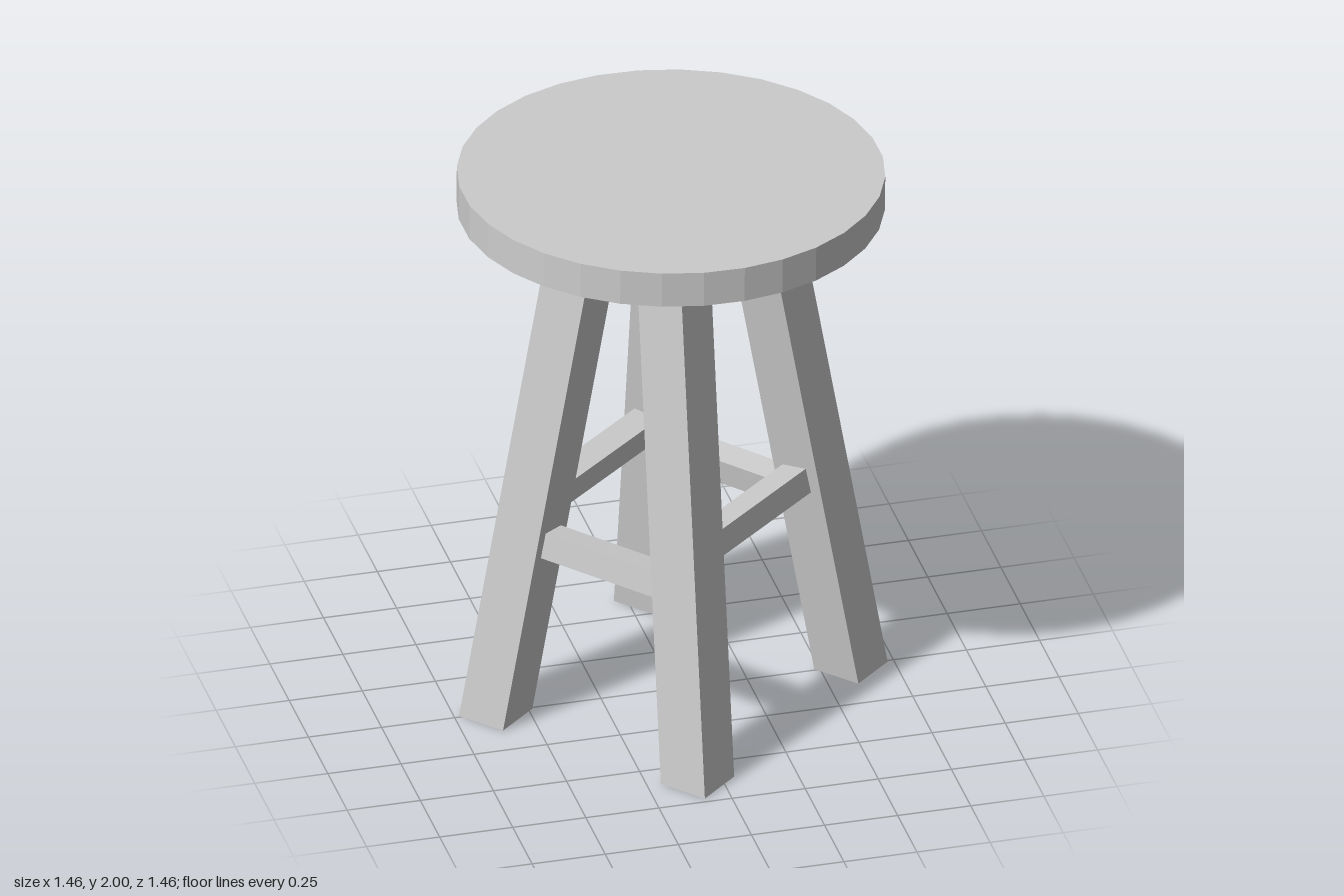
import * as THREE from 'three';

const material = new THREE.MeshStandardMaterial({ color: 0xcccccc, flatShading: true });
const LEG_HEIGHT = 1.88;

// Leg centres [x, z] on the floor and under the seat: front, right side (+x), back, -x side
const legs = [
  { name: 'frontLeg', foot: [-0.08, 0.605], top: [-0.08, 0.28] },
  { name: 'leftLeg', foot: [0.605, 0], top: [0.28, 0] },
  { name: 'backLeg', foot: [0.08, -0.605], top: [0.08, -0.28] },
  { name: 'rightLeg', foot: [-0.61, 0], top: [-0.285, 0] },
];

// Centre of a leg at height y
function legCentre({ foot, top }, y) {
  const t = y / LEG_HEIGHT;
  return [0, 1].map((i) => foot[i] + (top[i] - foot[i]) * t);
}

function addMesh(group, name, geometry) {
  const mesh = new THREE.Mesh(geometry, material);
  mesh.name = name;
  group.add(mesh);
  return mesh;
}

// Square post turned on its corner and sheared inwards
function legGeometry(leg) {
  const geometry = new THREE.BoxGeometry(0.175, LEG_HEIGHT, 0.175);
  geometry.rotateY(Math.PI / 4 - 0.06);
  geometry.translate(0, LEG_HEIGHT / 2, 0);
  const p = geometry.attributes.position;
  for (let i = 0; i < p.count; i++) {
    const [x, z] = legCentre(leg, p.getY(i));
    p.setXYZ(i, p.getX(i) + x, p.getY(i), p.getZ(i) + z);
  }
  geometry.computeVertexNormals();
  return geometry;
}

export function createModel() {
  const model = new THREE.Group();
  model.name = 'stool';

  // Round seat, slightly tilted
  const seatGeometry = new THREE.CylinderGeometry(0.71, 0.71, 0.125, 32);
  seatGeometry.rotateY(Math.PI / 32);
  seatGeometry.scale(1, 1, 0.977);
  const seat = addMesh(model, 'seat', seatGeometry);
  seat.position.set(-0.017, 1.926, 0.023);
  seat.rotation.set(-0.0115, 0, -0.0155);

  // Splayed legs
  for (const leg of legs) addMesh(model, leg.name, legGeometry(leg));

  // Rungs between neighbouring legs, alternating high and low, leaning with the legs
  legs.forEach((leg, i) => {
    const y = i % 2 ? 0.663 : 0.775;
    const [ax, az] = legCentre(leg, y);
    const [bx, bz] = legCentre(legs[(i + 1) % 4], y);
    const length = Math.hypot(bx - ax, bz - az) - 0.1;
    const rung = addMesh(model, 'rung' + (i + 1), new THREE.BoxGeometry(length, 0.092, 0.094));
    rung.position.set((ax + bx) / 2, y, (az + bz) / 2);
    rung.rotation.set(-0.14, Math.atan2(az - bz, bx - ax), 0, 'YXZ');
  });

  return model;
}
